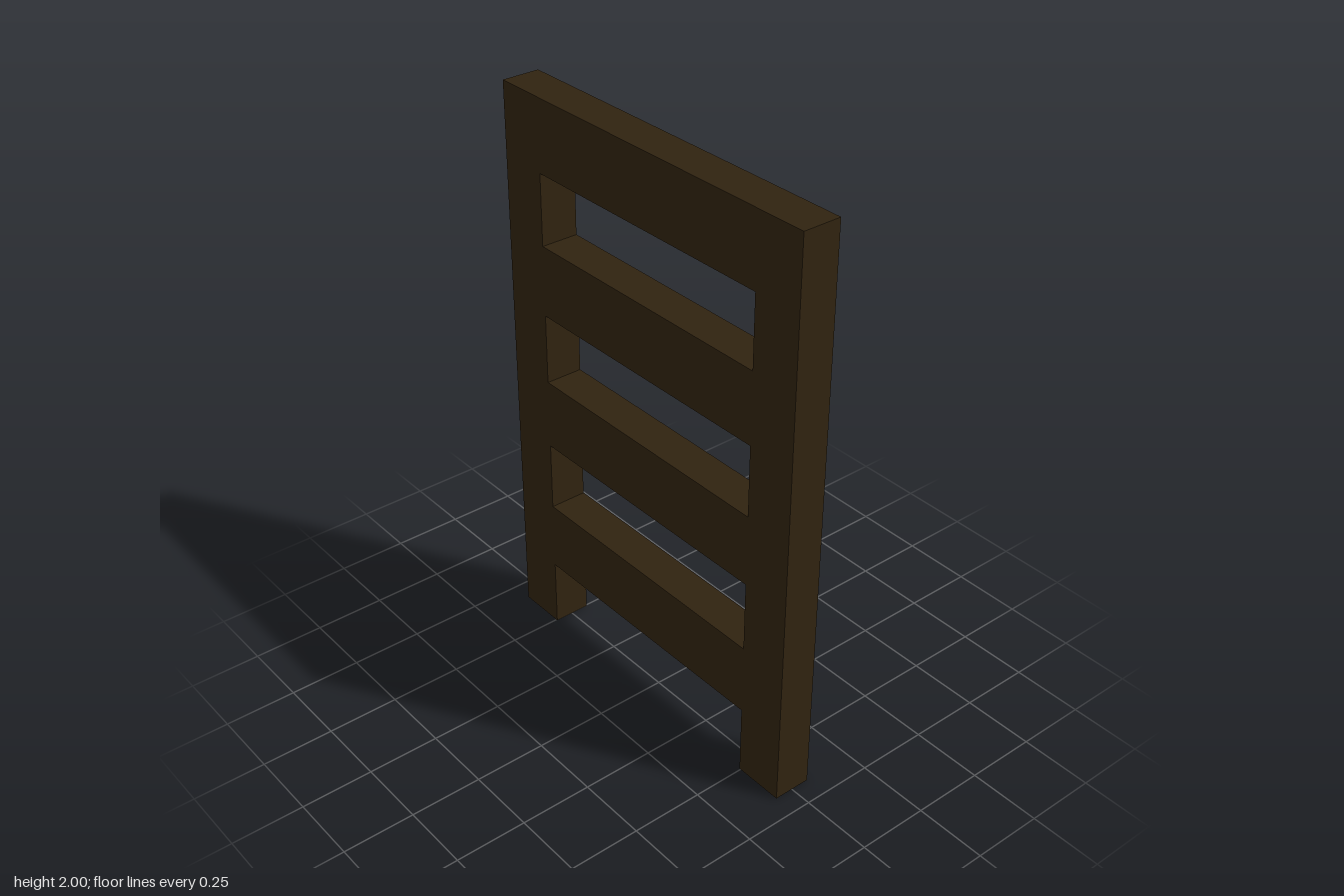
import * as THREE from 'three';

export function createModel() {
  const model = new THREE.Group();
  model.name = 'ladder';
  const darkWood = new THREE.MeshStandardMaterial({ color: 0x302310 });
  darkWood.name = 'darkWood';

  const height = 2, depth = 0.133, halfWidth = 0.672, innerHalf = 0.495;

  const addBoard = (name, h, width, y, z) => {
    const board = new THREE.Mesh(new THREE.BoxGeometry(depth, h, width), darkWood);
    board.name = name;
    board.position.set(0, y, z);
    model.add(board);
  };

  // Two upright rails
  for (const side of [1, -1]) {
    addBoard(side > 0 ? 'frontRail' : 'backRail', height, halfWidth - innerHalf,
      height / 2, side * (halfWidth + innerHalf) / 2);
  }

  // Four flush rungs fitted between the rails, the last one at the very top
  const rungHeight = 0.25;
  for (let i = 0; i < 4; i++) {
    addBoard(`rung${i + 1}`, rungHeight, innerHalf * 2, 0.375 + i * 0.5, 0);
  }
  return model;
}
